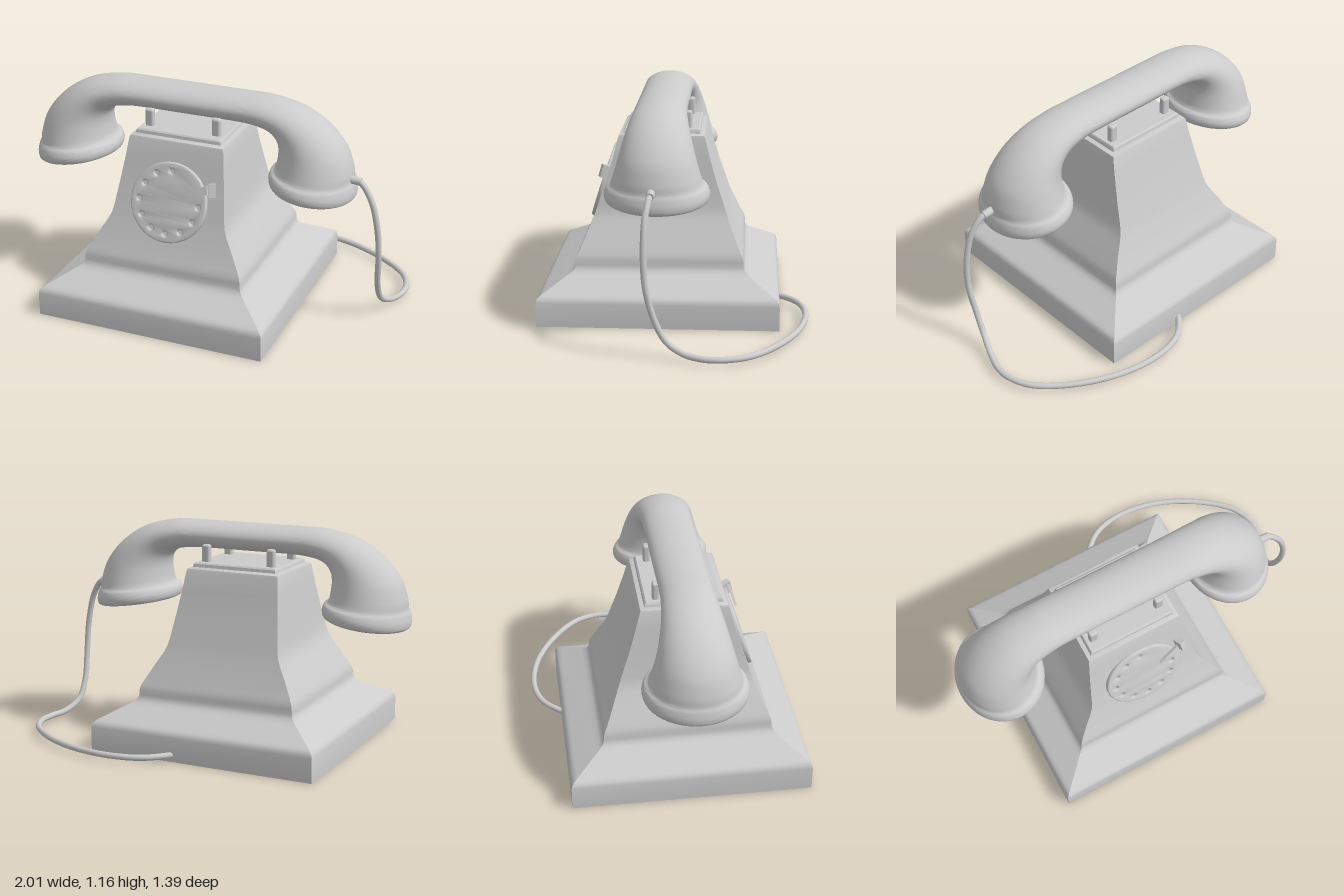
import * as THREE from 'three';
import { toCreasedNormals } from 'three/addons/utils/BufferGeometryUtils.js';
import { RoundedBoxGeometry } from 'three/addons/geometries/RoundedBoxGeometry.js';

const CX = -0.116, CZ = 0.074; // centre of body and handset
const grey = new THREE.MeshStandardMaterial({ color: 0xcccccc });
const greyOpen = new THREE.MeshStandardMaterial({ color: 0xcccccc, side: THREE.DoubleSide });

function add(parent, name, geometry, material = grey) {
  const mesh = new THREE.Mesh(geometry, material);
  mesh.name = name;
  parent.add(mesh);
  return mesh;
}

// Skin over closed rings of points, with optional flat caps at start and end
function loft(rings, capStart, capEnd, crease) {
  const n = rings[0].length, pos = [], idx = [];
  rings.flat().forEach(p => pos.push(p.x, p.y, p.z));
  for (let i = 0; i < rings.length - 1; i++) {
    for (let j = 0; j < n; j++) {
      const k = (j + 1) % n, a = i * n + j, b = i * n + k;
      idx.push(a, b, b + n, a, b + n, a + n);
    }
  }
  const cap = (row, flip) => {
    const c = new THREE.Vector3();
    rings[row].forEach(p => c.addScaledVector(p, 1 / n));
    const m = pos.length / 3;
    pos.push(c.x, c.y, c.z);
    for (let j = 0; j < n; j++) {
      const a = row * n + j, b = row * n + (j + 1) % n;
      if (flip) idx.push(m, b, a); else idx.push(m, a, b);
    }
  };
  if (capStart) cap(0, true);
  if (capEnd) cap(rings.length - 1, false);
  const g = new THREE.BufferGeometry();
  g.setAttribute('position', new THREE.Float32BufferAttribute(pos, 3));
  g.setIndex(idx);
  return toCreasedNormals(g, crease);
}

// Hollow stepped body: rectangular sections [y, half width x, half depth z]
function bodyGeometry() {
  const profile = [
    [0, 0.62, 0.62], [0.125, 0.62, 0.62], [0.145, 0.615, 0.615], [0.158, 0.602, 0.602], [0.168, 0.585, 0.585],
    [0.228, 0.48, 0.48], [0.242, 0.456, 0.456], [0.257, 0.441, 0.441], [0.275, 0.435, 0.435], [0.3, 0.434, 0.434],
    [0.325, 0.428, 0.428], [0.35, 0.415, 0.415], [0.43, 0.371, 0.381], [0.495, 0.332, 0.354], [0.53, 0.316, 0.341],
    [0.57, 0.307, 0.328], [0.69, 0.29, 0.288], [0.82, 0.272, 0.25], [0.915, 0.26, 0.226], [0.926, 0.256, 0.221],
    [0.931, 0.245, 0.21], [0.934, 0.235, 0.2], [0.95, 0.232, 0.197], [0.957, 0.226, 0.19],
  ];
  const corners = [[1, 1], [1, -1], [-1, -1], [-1, 1]];
  const rings = profile.map(([y, hx, hz]) =>
    corners.map(([sx, sz]) => new THREE.Vector3(CX + sx * hx, y, CZ + sz * hz)));
  return loft(rings, false, true, 0.6);
}

// Handset: oval sections between an outer and an inner contour
// [outer x, outer y, inner x, inner y, half depth z]
function handsetGeometry() {
  const half = [
    [0.3, 1.155, 0.25, 1.01, 0.132], [0.44, 1.15, 0.35, 1.004, 0.135], [0.6, 1.112, 0.425, 0.988, 0.147],
    [0.735, 1.03, 0.468, 0.953, 0.167], [0.83, 0.92, 0.483, 0.9, 0.19], [0.866, 0.82, 0.476, 0.825, 0.215],
    [0.873, 0.765, 0.465, 0.797, 0.23], [0.882, 0.742, 0.447, 0.785, 0.25], [0.889, 0.705, 0.437, 0.757, 0.262],
    [0.886, 0.675, 0.442, 0.728, 0.255], [0.876, 0.665, 0.454, 0.718, 0.238],
  ];
  const mirrored = half.map(([a, b, c, d, e]) => [-a, b, -c, d, e]).reverse();
  const stations = [...mirrored, [0, 1.155, 0, 1.01, 0.132], ...half];
  const outer = new THREE.CatmullRomCurve3(stations.map(s => new THREE.Vector3(s[0], s[1], s[4])), false, 'catmullrom', 0.5);
  const inner = new THREE.CatmullRomCurve3(stations.map(s => new THREE.Vector3(s[2], s[3], s[4])), false, 'catmullrom', 0.5);
  const rings = [], steps = (stations.length - 1) * 5, sides = 48;
  for (let i = 0; i <= steps; i++) {
    const o = outer.getPoint(i / steps), n = inner.getPoint(i / steps), ring = [];
    for (let j = 0; j < sides; j++) {
      const a = j / sides * Math.PI * 2, c = Math.cos(a) / 2;
      ring.push(new THREE.Vector3(
        CX + (o.x + n.x) / 2 + (o.x - n.x) * c,
        (o.y + n.y) / 2 + (o.y - n.y) * c,
        CZ - 0.005 + o.z * Math.sin(a)));
    }
    rings.push(ring);
  }
  return loft(rings, true, true, 0.7);
}

// Round dial with ten finger holes and a finger stop, facing +z
function createDial() {
  const dial = new THREE.Group();
  dial.name = 'dial';
  const disc = new THREE.Shape().absarc(0, 0, 0.2, 0, Math.PI * 2);
  for (let i = 0; i < 10; i++) {
    const a = Math.PI / 2 + i * Math.PI / 6;
    disc.holes.push(new THREE.Path().absarc(0.163 * Math.cos(a), 0.163 * Math.sin(a), 0.022, 0, Math.PI * 2, true));
  }
  const plate = new THREE.ExtrudeGeometry(disc, {
    depth: 0.018, bevelThickness: 0.007, bevelSize: 0.009, bevelSegments: 3, curveSegments: 32,
  });
  plate.translate(0, 0, -0.025);
  add(dial, 'dialPlate', toCreasedNormals(plate, 0.6));
  const back = add(dial, 'dialBack', new THREE.CylinderGeometry(0.2, 0.2, 0.02, 48));
  back.rotation.x = Math.PI / 2;
  back.position.z = -0.03;

  const stop = new THREE.Shape([[0.095, 0.055], [0.215, 0.075], [0.205, 0.125]].map(p => new THREE.Vector2(...p)));
  const stopMesh = add(dial, 'fingerStop', new THREE.ExtrudeGeometry(stop, { depth: 0.014, bevelEnabled: false }));
  stopMesh.position.z = 0.008;
  const foot = add(dial, 'fingerStopFoot', new THREE.BoxGeometry(0.036, 0.068, 0.06));
  foot.position.set(0.229, 0.1, -0.008);
  foot.rotation.set(0, 0.35, 0.12);

  dial.position.set(-0.117, 0.632, 0.405);
  dial.rotation.x = -0.32;
  return dial;
}

export function createModel() {
  const phone = new THREE.Group();
  phone.name = 'telephone';
  add(phone, 'body', bodyGeometry(), greyOpen);
  phone.add(createDial());

  // Four cradle prongs
  for (const sx of [-1, 1]) {
    for (const sz of [-1, 1]) {
      const prong = add(phone, 'cradleProng', new RoundedBoxGeometry(0.046, 0.115, 0.036, 3, 0.012));
      prong.position.set(CX + sx * 0.185, 0.99, CZ - 0.005 + sz * 0.133);
    }
  }

  add(phone, 'handset', handsetGeometry());

  // Cord from the handset, down and around to the back of the body
  const socket = add(phone, 'cordSocket', new THREE.CylinderGeometry(0.02, 0.022, 0.07, 20));
  socket.position.set(0.77, 0.776, 0.085);
  socket.rotation.z = -Math.PI / 2 - 0.1;
  const path = new THREE.CatmullRomCurve3([
    [0.77, 0.776, 0.085], [0.81, 0.765, 0.09], [0.87, 0.68, 0.105], [0.91, 0.52, 0.11], [0.919, 0.36, 0.1],
    [0.911, 0.2, 0.06], [0.918, 0.09, 0], [0.95, 0.04, -0.09], [0.982, 0.03, -0.19], [0.982, 0.03, -0.28],
    [0.93, 0.03, -0.4], [0.76, 0.03, -0.545], [0.53, 0.033, -0.652], [0.31, 0.035, -0.682],
    [0.15, 0.035, -0.645], [0.04, 0.035, -0.545], [-0.01, 0.035, -0.45],
  ].map(p => new THREE.Vector3(...p)));
  add(phone, 'cord', new THREE.TubeGeometry(path, 160, 0.016, 12), greyOpen);
  return phone;
}
